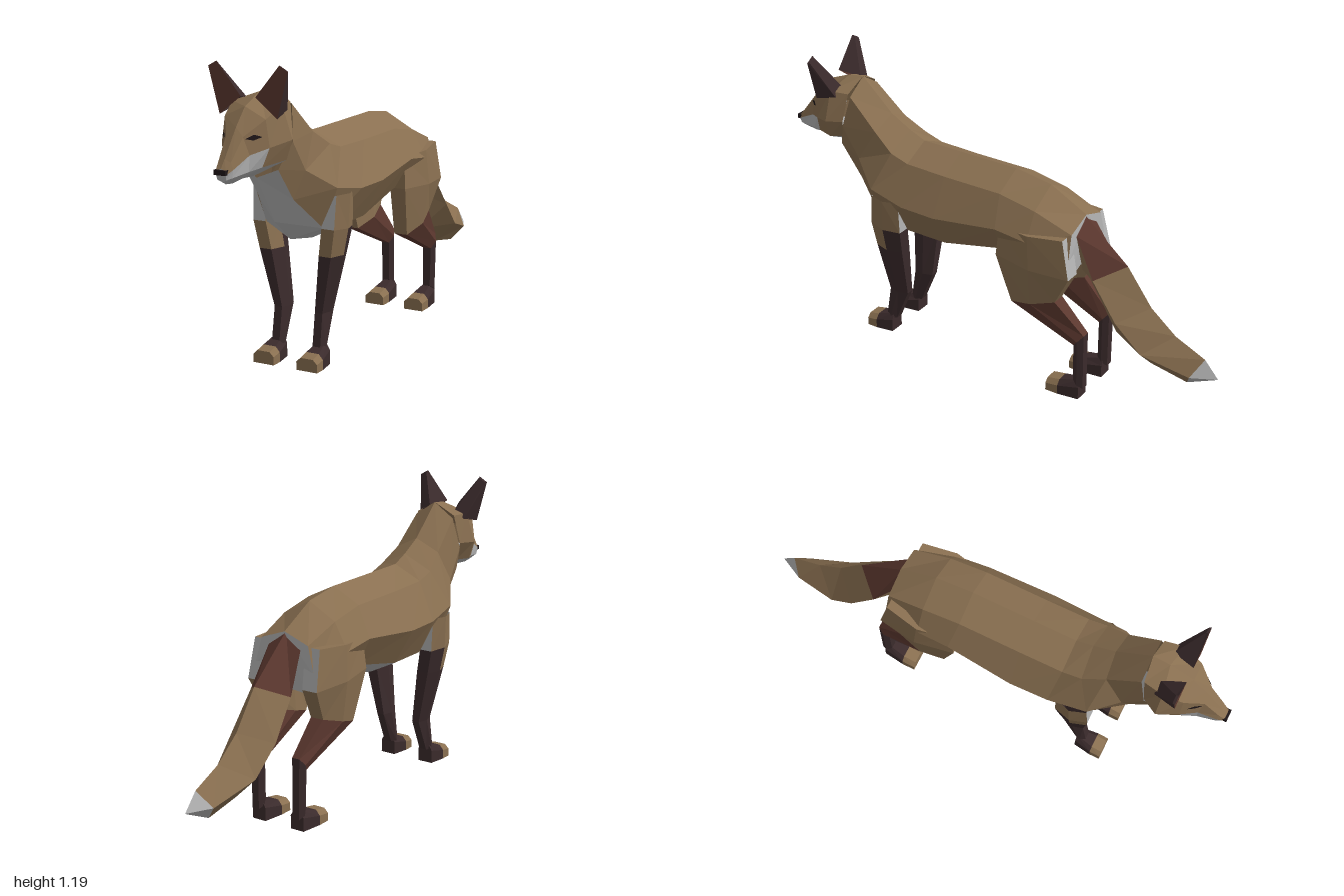
import * as THREE from 'three';

const mat = (name, color) => {
  const m = new THREE.MeshStandardMaterial({ color, flatShading: true, side: THREE.DoubleSide });
  m.name = name;
  return m;
};
const FUR = 0, WHITE = 1, DARK = 2, RUST = 3, BLACK = 4;
const materials = [
  mat('brown fur', 0x8a7051), mat('pale fur', 0xb4b4b4), mat('dark stocking', 0x3b2b2c),
  mat('rust fur', 0x5c382f), mat('nose and eye black', 0x1e1618),
];

// Skin a list of closed rings; paint(segment, band) picks the colour, caps take their own colour.
function loft(name, rings, paint, { flip = false, start = null, end = null } = {}) {
  const faces = materials.map(() => []);
  const tri = (color, a, b, c) => faces[color].push(...a, ...(flip ? c : b), ...(flip ? b : c));
  const n = rings[0].length;
  for (let i = 0; i < rings.length - 1; i++) {
    for (let j = 0; j < n; j++) {
      const k = (j + 1) % n, color = paint(i, j);
      const a = rings[i][j], b = rings[i][k], c = rings[i + 1][k], d = rings[i + 1][j];
      tri(color, a, d, c);
      tri(color, a, c, b);
    }
  }
  const last = rings[rings.length - 1];
  for (let j = 1; j < n - 1; j++) {
    if (start !== null) tri(start, rings[0][0], rings[0][j], rings[0][j + 1]);
    if (end !== null) tri(end, last[0], last[j + 1], last[j]);
  }
  const g = new THREE.BufferGeometry();
  g.setAttribute('position', new THREE.Float32BufferAttribute(faces.flat(), 3));
  let from = 0;
  faces.forEach((f, m) => {
    if (f.length) g.addGroup(from, f.length / 3, m);
    from += f.length / 3;
  });
  g.computeVertexNormals();
  const mesh = new THREE.Mesh(g, materials);
  mesh.name = name;
  return mesh;
}

// Complete a half ring (top centre, side points, bottom centre) by mirroring it.
const whole = (half) => [...half, ...half.slice(1, -1).reverse().map(([x, y, z]) => [-x, y, z])];
// Band number counted from the top on either side of a mirrored ring of eight.
const level = (j) => (j < 4 ? j : 7 - j);

// Six-sided leg ring: inner x, outer x, then height and depth of its back and front.
function legRing(s, [x0, x1, yb, zb, yf, zf]) {
  const w = (x1 - x0) * 0.22, ym = (yb + yf) / 2, zm = (zb + zf) / 2;
  return [[x1, ym, zm], [x1 - w, yb, zb], [x0 + w, yb, zb], [x0, ym, zm], [x0 + w, yf, zf], [x1 - w, yf, zf]]
    .map(([x, y, z]) => [x * s, y, z]);
}

// Paw with a brown toe section; z values are heel, toe line and tip.
function paw(name, s, x0, x1, zs) {
  const tops = [0.085, 0.06, 0.05];
  const rings = zs.map((z, i) => {
    const e = i === 0 ? 0.012 : 0, t = tops[i];
    return [[x0 + e + 0.018, t, z], [x1 - e - 0.018, t, z], [x1 - e, t * 0.65, z],
      [x1 - e, 0, z], [x0 + e, 0, z], [x0 + e, t * 0.65, z]].map(([x, y, q]) => [x * s, y, q]);
  });
  return loft(name, rings, (i) => (i ? FUR : DARK), { flip: s < 0, start: DARK, end: FUR });
}

export function createModel() {
  const fox = new THREE.Group();
  fox.name = 'fox';

  // Trunk and neck, from rump to nape
  const trunk = [
    [[0, .77, -.40], [.11, .73, -.40], [.14, .62, -.405], [.10, .54, -.40], [0, .54, -.38]],
    [[0, .855, -.24], [.12, .79, -.24], [.18, .68, -.24], [.11, .56, -.24], [0, .54, -.24]],
    [[0, .88, -.08], [.12, .82, -.08], [.187, .70, -.10], [.115, .575, -.08], [0, .52, -.09]],
    [[0, .88, .18], [.12, .82, .18], [.205, .67, .18], [.12, .52, .18], [0, .46, .18]],
    [[0, .88, .36], [.12, .825, .36], [.20, .67, .34], [.12, .52, .36], [0, .46, .37]],
    [[0, .91, .43], [.12, .85, .44], [.185, .70, .50], [.125, .54, .50], [0, .49, .53]],
    [[0, .96, .52], [.10, .91, .53], [.115, .78, .61], [.075, .67, .63], [0, .58, .64]],
    [[0, 1.09, .66], [.09, 1.03, .66], [.11, .90, .69], [.072, .80, .73], [0, .77, .76]],
  ].map(whole);
  fox.add(loft('trunk', trunk, (i, j) => (level(j) === 3 && i > 0 ? WHITE : FUR), { start: WHITE }));

  // Head, from nape to muzzle
  const head = [
    [[0, 1.09, .66], [.09, 1.04, .67], [.11, .92, .69], [.08, .84, .71], [0, .79, .74]],
    [[0, 1.08, .73], [.105, 1.04, .75], [.145, .92, .75], [.12, .845, .75], [0, .78, .78]],
    [[0, 1.04, .83], [.085, 1.0, .83], [.10, .90, .83], [.075, .83, .84], [0, .785, .85]],
    [[0, .975, .89], [.035, .945, .90], [.055, .88, .89], [.05, .82, .89], [0, .78, .92]],
    [[0, .875, .965], [.026, .865, .965], [.035, .84, .965], [.03, .81, .965], [0, .785, .96]],
    [[0, .845, .99], [.02, .84, .99], [.022, .825, .99], [.018, .805, .985], [0, .795, .975]],
  ].map(whole);
  fox.add(loft('head', head, (i, j) =>
    (level(j) === 3 || (level(j) === 2 && i > 1) ? WHITE : FUR), { end: WHITE }));

  // Nose
  const nose = new THREE.Mesh(new THREE.BoxGeometry(0.048, 0.018, 0.022), materials[BLACK]);
  nose.position.set(0, 0.833, 0.989);
  nose.name = 'nose';
  fox.add(nose);

  // Tail, from tip to root, with a pale tip and a rust patch on top of the root
  const tail = [
    [[0, .23, -1], [0, .23, -1], [0, .23, -1]],
    [[0, .30, -.94], [.05, .23, -.90], [0, .17, -.87]],
    [[0, .36, -.81], [.095, .29, -.71], [0, .20, -.71]],
    [[0, .45, -.70], [.105, .40, -.60], [0, .29, -.55]],
    [[0, .60, -.59], [.095, .55, -.49], [0, .50, -.42]],
    [[0, .77, -.39], [.075, .71, -.40], [0, .52, -.39]],
  ].map(whole);
  fox.add(loft('tail', tail, (i, j) =>
    (i === 0 ? WHITE : i === 4 && (j === 0 || j === 3) ? RUST : FUR)));

  for (const s of [1, -1]) {
    const side = s > 0 ? 'left' : 'right';
    const mirror = (p) => p.map(([x, y, z]) => [x * s, y, z]);

    // Ear: rust front, dark back
    const ear = [
      [[.03, 1.07, .81], [.06, 1.05, .72], [.108, 1.02, .72], [.12, 1.0, .81]],
      [[.13, 1.19, .81], [.133, 1.185, .80], [.16, 1.17, .80], [.165, 1.17, .81]],
    ].map(mirror);
    fox.add(loft(side + 'Ear', ear, (i, j) => (j === 3 ? RUST : DARK), { flip: s < 0, end: DARK }));

    // Eye: thin diamond lying on the sloping face
    const onFace = ([x, y]) => [x, y, 0.835 - (0.765 * (x - 0.085) + 0.115 * (y - 1)) / 0.634];
    const eye = mirror([[.042, .938], [.062, .951], [.083, .941], [.062, .931]].map(onFace));
    const g = new THREE.BufferGeometry();
    const order = s > 0 ? [0, 2, 1, 0, 3, 2] : [0, 1, 2, 0, 2, 3];
    g.setAttribute('position', new THREE.Float32BufferAttribute(order.flatMap((k) => eye[k]), 3));
    g.computeVertexNormals();
    const eyeMesh = new THREE.Mesh(g, materials[BLACK]);
    eyeMesh.name = side + 'Eye';
    fox.add(eyeMesh);

    // Front leg: pale at the armpit, brown forearm, dark stocking
    const front = [
      [.10, .203, .67, .37, .67, .50], [.10, .197, .53, .368, .54, .51], [.083, .176, .43, .375, .43, .50],
      [.06, .118, .20, .39, .20, .478], [.06, .12, .06, .45, .06, .50],
    ].map((r) => legRing(s, r));
    const frontPaint = (i, j) => {
      if (i === 0) return j === 4 || j === 1 ? WHITE : FUR;
      return i === 1 && j > 2 ? FUR : DARK;
    };
    fox.add(loft(side + 'FrontLeg', front, frontPaint, { flip: s < 0, end: DARK }));
    fox.add(paw(side + 'FrontPaw', s, .05, .14, [.46, .535, .58]));

    // Hind leg: brown thigh with pale rear, rust shank, dark stocking
    const hind = [
      [.06, .18, .72, -.385, .70, -.10], [.07, .19, .56, -.42, .575, -.09], [.062, .165, .43, -.35, .37, -.15],
      [.07, .13, .30, -.47, .245, -.425], [.07, .125, .05, -.47, .08, -.425],
    ].map((r) => legRing(s, r));
    const hindPaint = (i, j) => (i === 0 && j === 1 ? WHITE : [FUR, FUR, RUST, DARK][i]);
    fox.add(loft(side + 'HindLeg', hind, hindPaint, { flip: s < 0, start: FUR, end: DARK }));
    fox.add(paw(side + 'HindPaw', s, .05, .135, [-.455, -.365, -.31]));
  }
  return fox;
}
